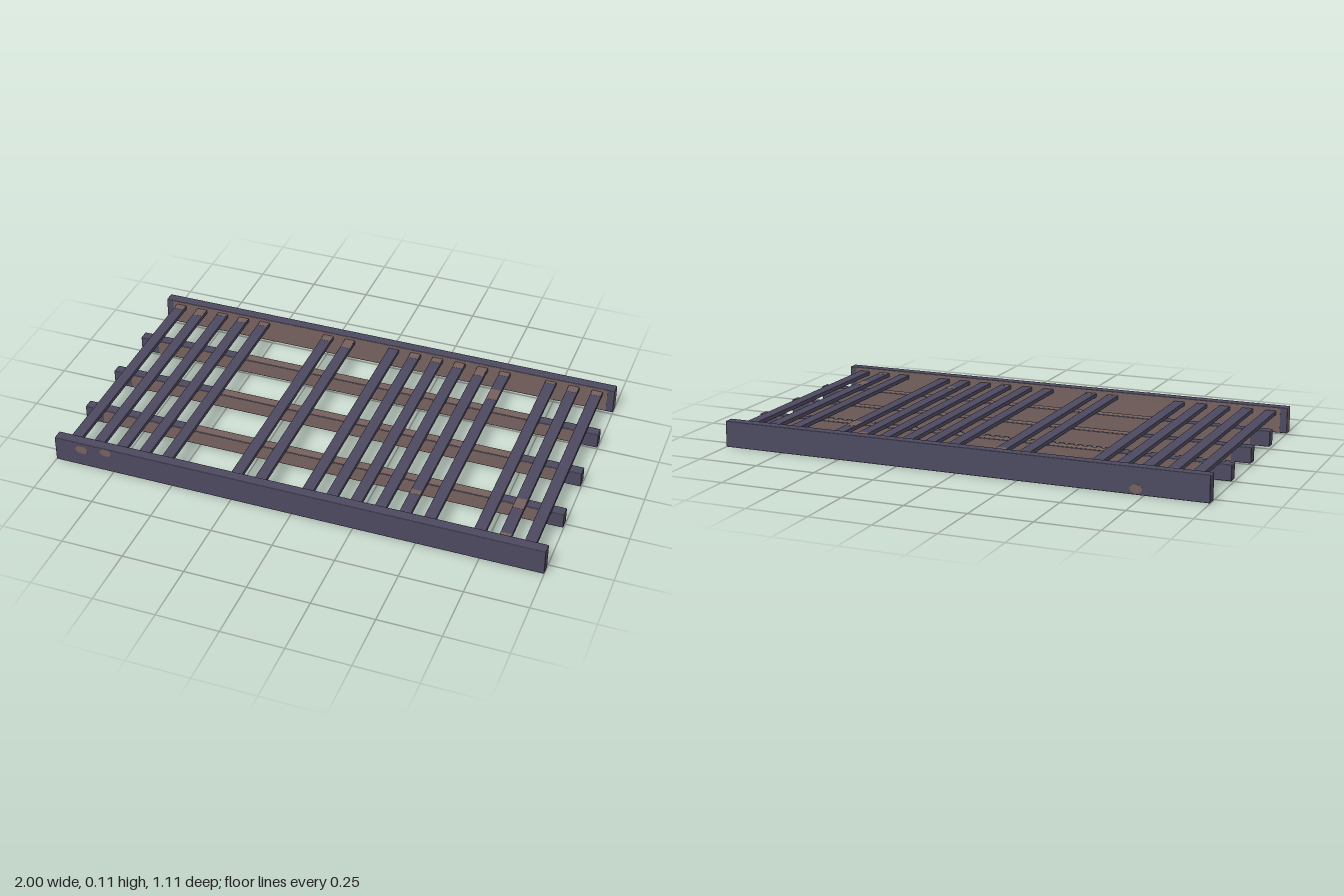
import * as THREE from 'three';
import { RoundedBoxGeometry } from 'three/addons/geometries/RoundedBoxGeometry.js';

const mat = (name, color) => Object.assign(new THREE.MeshStandardMaterial({ color }), { name });

export function createModel() {
  const slate = mat('slate paint', 0x4c4960);
  const rust = mat('brown rust', 0x74605d);

  const model = new THREE.Group();
  model.name = 'slattedFrame';

  // Bar with eased edges; rusty lists face indices (+x -x +y -y +z -z)
  function bar(name, size, ease, rusty = []) {
    const sides = [0, 1, 2, 3, 4, 5].map((i) => (rusty.includes(i) ? rust : slate));
    const mesh = new THREE.Mesh(new RoundedBoxGeometry(...size, 1, ease), sides);
    mesh.name = name;
    model.add(mesh);
    return mesh;
  }

  // Thin rust plate lying on a bar's face
  function patch(name, parent, size, position) {
    const m = new THREE.Mesh(new THREE.BoxGeometry(...size), rust);
    m.name = name;
    m.position.set(...position);
    parent.add(m);
  }

  // Rounded rust spot on a rail's outer face
  function railSpot(parent, x, y, r) {
    const m = new THREE.Mesh(new THREE.CylinderGeometry(r, r, 0.002, 10), rust);
    m.name = 'railRust';
    m.rotation.x = Math.PI / 2;
    m.scale.z = 0.7;
    m.position.set(x, y, -0.0215);
    parent.add(m);
  }

  // Side rails: the back one, and the same rail turned round for the front
  for (const s of [-1, 1]) {
    const rail = bar(s < 0 ? 'backRail' : 'frontRail', [2, 0.106, 0.044], 0.003, [0]);
    rail.position.set(0, 0.053, s * 0.533);
    if (s > 0) rail.rotation.y = Math.PI;
    patch('railInnerRust', rail, [1.94, 0.1, 0.002], [0, 0, 0.0215]);
    if (s > 0) {
      railSpot(rail, 0.885, 0.022, 0.027);
      railSpot(rail, 0.78, 0.034, 0.025);
    } else {
      railSpot(rail, -0.72, -0.03, 0.025);
    }
  }

  // Bearers under the slats, rusted along both sides and the middle of the top
  for (const z of [-0.265, 0, 0.265]) {
    const bearer = bar('bearer', [2, 0.064, 0.043], 0.003);
    bearer.position.set(0, 0.042, z);
    patch('bearerTopRust', bearer, [1.24, 0.002, 0.037], [0.1, 0.0315, 0]);
    for (const s of [-1, 1]) {
      patch('bearerSideRust', bearer, [1.84, 0.058, 0.002], [0, 0, s * 0.021]);
    }
  }

  // Slats on an even pitch, with some missing
  const missing = [5, 6, 9, 16];
  const slats = [];
  for (let i = 0; i < 20; i++) {
    if (missing.includes(i)) continue;
    slats[i] = bar('slat', [0.046, 0.017, 1.03], 0.002);
    slats[i].position.set(-0.93 + i * 0.0978, 0.083, 0);
  }

  // Rust spots on slats: slot, centre z, length
  const spots = [
    [0, -0.495, 0.035], [1, -0.485, 0.05], [2, -0.503, 0.018], [3, -0.493, 0.035],
    [4, -0.497, 0.03], [7, -0.49, 0.04], [8, -0.48, 0.065], [11, -0.492, 0.04],
    [12, -0.495, 0.035], [13, -0.49, 0.04], [14, -0.48, 0.065], [15, -0.495, 0.03],
    [15, -0.34, 0.07], [17, -0.503, 0.018], [18, -0.49, 0.045], [19, -0.495, 0.035],
    [14, 0.37, 0.025], [18, 0.3, 0.06], [18, 0.495, 0.025],
    [12, 0.503, 0.016], [7, 0.503, 0.016], [8, 0.503, 0.016],
  ];
  for (const [i, z, len] of spots) {
    patch('slatRust', slats[i], [0.041, 0.002, len], [0, 0.008, z]);
  }
  return model;
}
